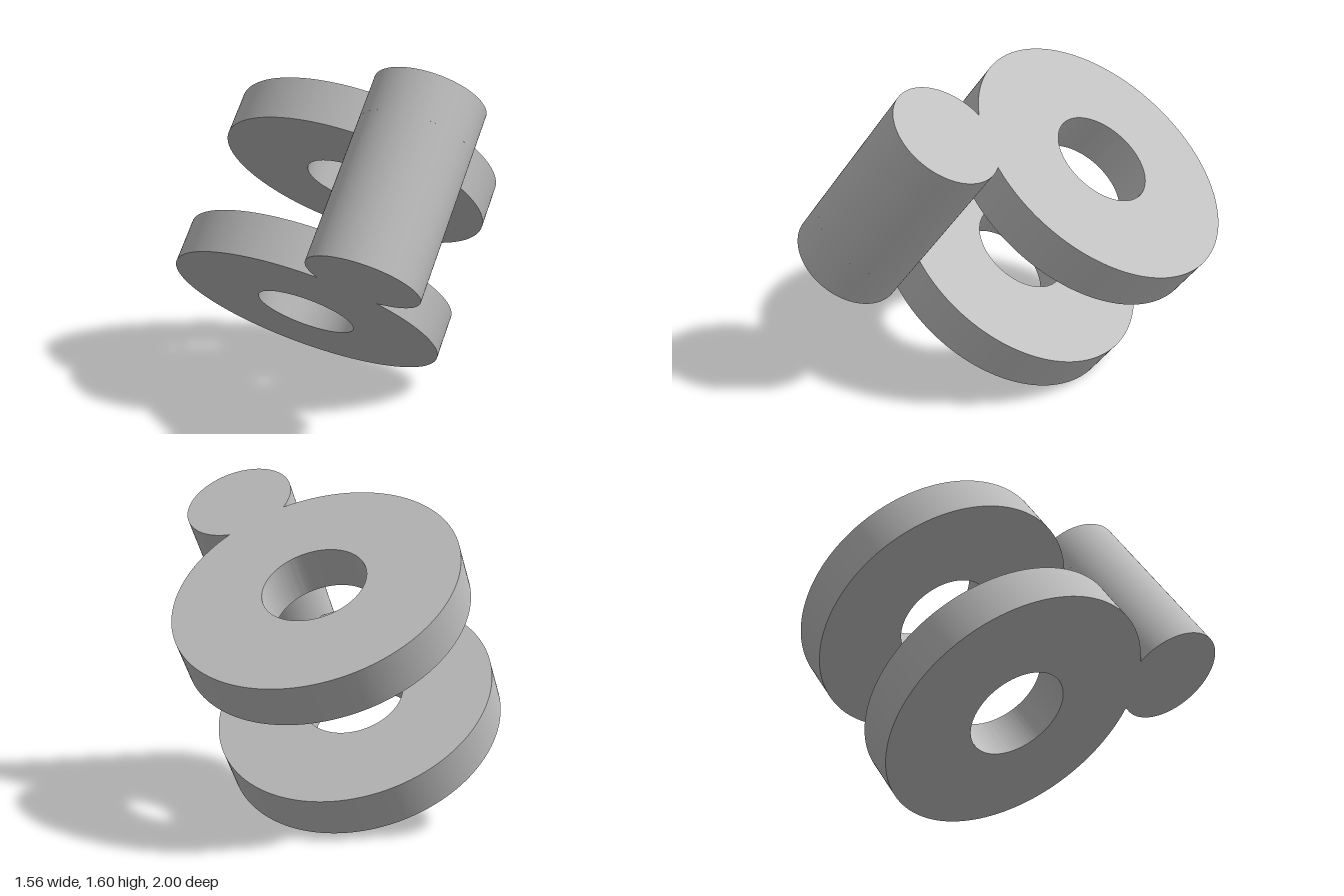
import * as THREE from 'three';
import { toCreasedNormals } from 'three/addons/utils/BufferGeometryUtils.js';

const RING_R = 0.663, HOLE_R = 0.241, POST_R = 0.262;
const SPACING = 0.865;   // ring axis to post axis
const LENGTH = 0.907;    // full length of the post
const THICK = 0.212;     // ring thickness

// Ring merged with the end of the post, as one outline with a hole
function plateShape() {
  const a = (RING_R ** 2 - POST_R ** 2 + SPACING ** 2) / (2 * SPACING);
  const ringAngle = Math.acos(a / RING_R);
  const postAngle = Math.acos((a - SPACING) / POST_R);
  const shape = new THREE.Shape();
  shape.absarc(0, 0, RING_R, ringAngle, 2 * Math.PI - ringAngle, false);
  shape.absarc(SPACING, 0, POST_R, -postAngle, postAngle, false);
  shape.closePath();
  const hole = new THREE.Path();
  hole.absarc(0, 0, HOLE_R, 0, 2 * Math.PI, true);
  shape.holes.push(hole);
  return shape;
}

export function createModel() {
  const model = new THREE.Group();
  model.name = 'bracket';
  const grey = new THREE.MeshStandardMaterial({ color: 0xbfbfbf });
  grey.name = 'grey';

  // Two flush plates, one at each end of the post
  const plate = toCreasedNormals(
    new THREE.ExtrudeGeometry(plateShape(), { depth: THICK, bevelEnabled: false, curveSegments: 96 }), 0.5);
  [['lowerRing', 0], ['upperRing', LENGTH - THICK]].forEach(([name, z]) => {
    const mesh = new THREE.Mesh(plate, grey);
    mesh.name = name;
    mesh.position.z = z;
    model.add(mesh);
  });

  // Middle of the post, between the plates
  const post = new THREE.Mesh(
    new THREE.CylinderGeometry(POST_R, POST_R, LENGTH - 2 * THICK, 96), grey);
  post.name = 'post';
  post.rotation.x = Math.PI / 2;
  post.position.set(SPACING, 0, LENGTH / 2);
  model.add(post);

  // Tilt: local z follows the ring axis, local x points from ring to post
  const axis = new THREE.Vector3(0.342, 0.818, -0.463).normalize();
  const side = new THREE.Vector3(0.246, 0.326, 0.765);
  side.addScaledVector(axis, -side.dot(axis)).normalize();
  const up = new THREE.Vector3().crossVectors(axis, side);
  model.quaternion.setFromRotationMatrix(new THREE.Matrix4().makeBasis(side, up, axis));
  model.position.set(-0.155, 0.382, 0);

  const root = new THREE.Group();
  root.add(model);
  return root;
}
